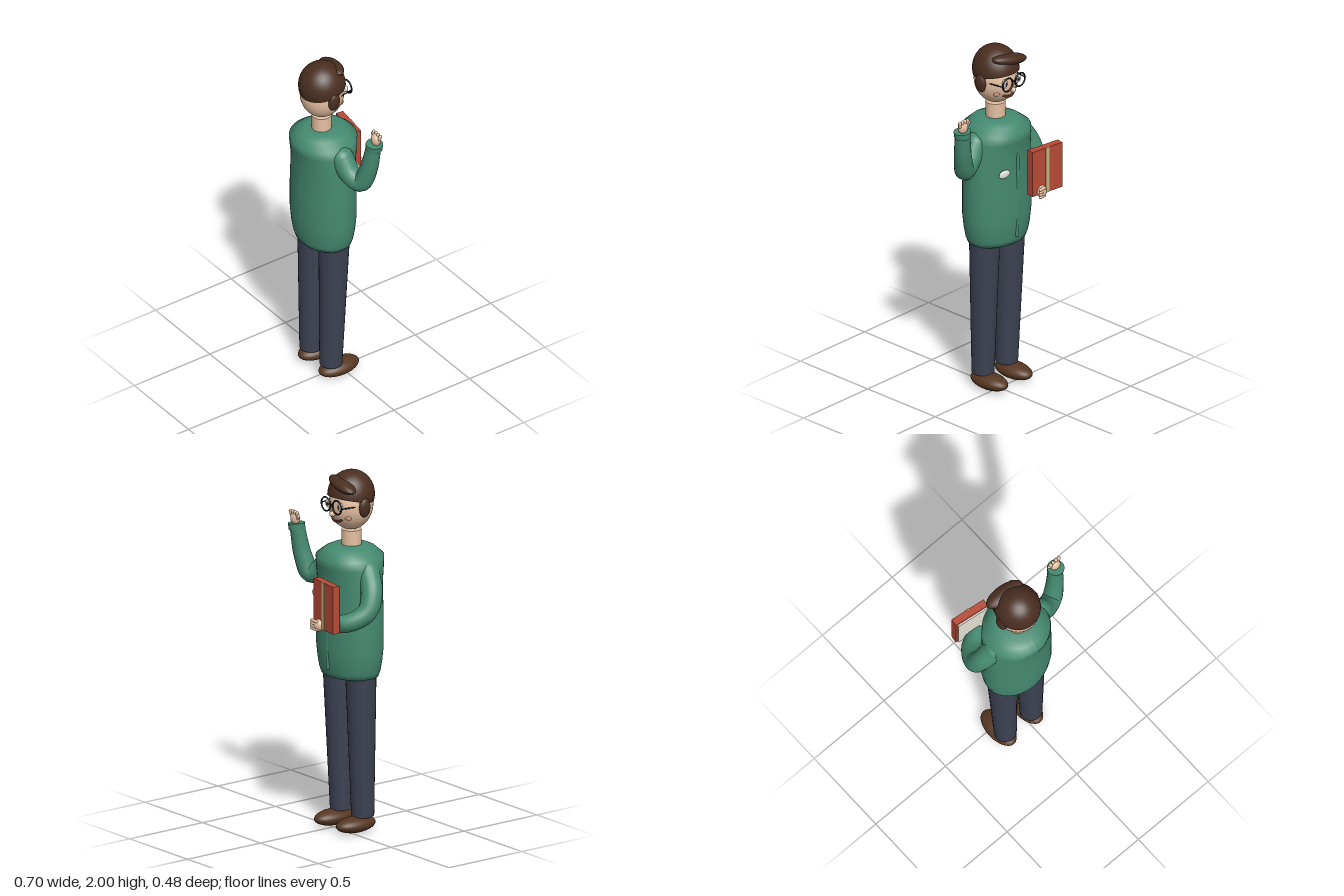
import * as THREE from 'three';

const COLORS = {
  hair: 0x4a2e20, skin: 0xe6c0a2, sweater: 0x458a71, trousers: 0x3d4252, shoe: 0x573722,
  book: 0xb84a36, pages: 0xe6e1d5, band: 0xc6b27a, white: 0xe8e8e4, black: 0x17171a,
  cheek: 0xc98b74, mouth: 0x55301f, iris: 0x6b4a2c,
};
const CX = -0.055; // body centre line
const V = (x, y, z) => new THREE.Vector3(x, y, z);

export function createModel() {
  const root = new THREE.Group();
  const mats = {};
  for (const k in COLORS) {
    mats[k] = new THREE.MeshStandardMaterial({ color: COLORS[k], side: THREE.DoubleSide });
  }

  const add = (name, geo, mat, pos = [0, 0, 0], rot = [0, 0, 0], parent = root) => {
    const m = new THREE.Mesh(geo, mats[mat]);
    m.name = name;
    m.position.set(...pos);
    m.rotation.set(...rot);
    parent.add(m);
    return m;
  };
  const ball = (name, mat, pos, r, rot, parent) =>
    add(name, new THREE.SphereGeometry(1, 28, 18).scale(...r), mat, pos, rot, parent);
  // capsule between two points
  const rod = (name, mat, a, b, r) => {
    const m = add(name, new THREE.CapsuleGeometry(r, a.distanceTo(b), 6, 12), mat);
    m.position.copy(a).lerp(b, 0.5);
    m.quaternion.setFromUnitVectors(V(0, 1, 0), b.clone().sub(a).normalize());
    return m;
  };
  // tapered cylinder between two points
  const limb = (name, mat, top, bottom, rTop, rBottom) => {
    const m = add(name, new THREE.CylinderGeometry(rTop, rBottom, top.distanceTo(bottom), 28), mat);
    m.position.copy(top).lerp(bottom, 0.5);
    m.quaternion.setFromUnitVectors(V(0, 1, 0), top.clone().sub(bottom).normalize());
    return m;
  };
  // tube that narrows along its path, with rounded ends
  const sleeve = (name, points, r0, r1) => {
    const curve = new THREE.CatmullRomCurve3(points);
    const n = 36, sides = 20;
    const geo = new THREE.TubeGeometry(curve, n, 1, sides);
    const p = geo.attributes.position, v = V();
    for (let i = 0; i < p.count; i++) {
      const t = Math.floor(i / (sides + 1)) / n;
      const c = curve.getPointAt(t);
      v.fromBufferAttribute(p, i).sub(c).multiplyScalar(r0 + (r1 - r0) * t).add(c);
      p.setXYZ(i, v.x, v.y, v.z);
    }
    add(name, geo, 'sweater');
    ball(name + 'Shoulder', 'sweater', points[0].toArray(), [r0, r0, r0]);
    const e = points[points.length - 1].toArray();
    ball(name + 'End', 'sweater', e, [r1, r1 * 0.5, r1]);
  };

  // Legs and shoes
  for (const s of [-1, 1]) {
    const side = s > 0 ? 'left' : 'right';
    limb(side + 'Leg', 'trousers', V(CX + s * 0.098, 0.92, 0.067), V(CX + s * 0.092, 0.085, 0.085), 0.085, 0.062);
    ball(side + 'Shoe', 'shoe', [CX + s * 0.095, 0.045, 0.035], [0.068, 0.044, 0.125]);
  }

  // Sweater body: lathe flattened front to back, rounder near the neck
  const profile = [[0.001, 1.588], [0.1, 1.585], [0.135, 1.568], [0.185, 1.53], [0.198, 1.48], [0.206, 1.38],
    [0.212, 1.2], [0.212, 1.03], [0.203, 0.95], [0.192, 0.895], [0.18, 0.866], [0.001, 0.866]];
  const body = new THREE.LatheGeometry(profile.reverse().map(([r, y]) => new THREE.Vector2(r, y)), 48);
  const bp = body.attributes.position;
  for (let i = 0; i < bp.count; i++) {
    const k = THREE.MathUtils.smoothstep(bp.getY(i), 1.4, 1.585);
    bp.setZ(i, bp.getZ(i) * (0.755 + 0.3 * k));
  }
  body.computeVertexNormals();
  add('sweaterBody', body, 'sweater', [CX, 0, 0.07]);
  rod('frontPlacket', 'sweater', V(CX, 1.46, -0.083), V(CX, 0.92, -0.08), 0.012);

  // Collar points and pocket badge
  for (const s of [-1, 1]) {
    ball('collarPoint', 'white', [CX + s * 0.04, 1.515, -0.068], [0.03, 0.012, 0.01], [0, s * 0.25, s * 0.7]);
  }
  ball('collarButton', 'white', [CX, 1.49, -0.08], [0.011, 0.011, 0.01]);
  ball('badge', 'white', [0.045, 1.315, -0.082], [0.038, 0.024, 0.009], [0, -0.12, 0]);

  // Right arm, bent around to carry the book
  sleeve('rightSleeve', [V(-0.21, 1.465, 0.07), V(-0.275, 1.37, 0.045), V(-0.292, 1.27, 0.0),
    V(-0.245, 1.215, -0.085), V(-0.14, 1.2, -0.15)], 0.064, 0.046);
  ball('rightHand', 'skin', [-0.125, 1.195, -0.195], [0.032, 0.034, 0.028], [0, 0.5, 0]);
  for (let i = 0; i < 4; i++) {
    const y = 1.172 + i * 0.015;
    rod('rightFinger', 'skin', V(-0.128, y, -0.213), V(-0.09, y + 0.004, -0.22), 0.0085);
  }

  // Book with a ribbon, held in front
  const book = new THREE.Group();
  book.name = 'book';
  book.position.set(-0.168, 1.31, -0.18);
  book.rotation.y = -0.134;
  root.add(book);
  add('bookCover', new THREE.BoxGeometry(0.207, 0.265, 0.042), 'book', [0, 0, 0], [0, 0, 0], book);
  add('bookPages', new THREE.BoxGeometry(0.188, 0.245, 0.012), 'pages', [0.002, 0, 0.025], [0, 0, 0], book);
  add('bookRibbon', new THREE.BoxGeometry(0.026, 0.266, 0.006), 'band', [0, 0, -0.021], [0, 0, 0], book);

  // Left arm, raised to wave
  sleeve('leftSleeve', [V(0.115, 1.475, 0.068), V(0.175, 1.395, 0.055), V(0.235, 1.368, 0.03),
    V(0.274, 1.46, 0.008), V(0.298, 1.62, -0.012)], 0.064, 0.041);
  add('leftCuff', new THREE.CylinderGeometry(0.047, 0.045, 0.035, 24), 'sweater', [0.3, 1.622, -0.013], [0, 0, -0.1]);
  ball('leftHand', 'skin', [0.304, 1.665, -0.02], [0.031, 0.036, 0.024]);
  for (let i = 0; i < 4; i++) {
    const x = 0.28 + i * 0.017;
    rod('leftFinger', 'skin', V(x, 1.68, -0.024), V(x + (i - 1.5) * 0.003, 1.703 - Math.abs(i - 1.5) * 0.002, -0.028), 0.0095);
  }
  rod('leftThumb', 'skin', V(0.285, 1.66, -0.02), V(0.266, 1.684, -0.028), 0.009);

  // Neck and head
  add('neck', new THREE.CylinderGeometry(0.054, 0.054, 0.13, 28), 'skin', [CX, 1.605, 0.08]);
  const HZ = 0.078;
  ball('head', 'skin', [CX, 1.812, HZ], [0.118, 0.142, 0.122]);

  // Hair: tilted cap, side tufts and swept fringe
  add('hairCap', new THREE.SphereGeometry(1, 40, 24, 0, Math.PI * 2, 0, Math.PI * 0.55).scale(0.125, 0.136, 0.13),
    'hair', [CX, 1.864, HZ], [0.2, 0, 0]);
  for (const s of [-1, 1]) {
    ball('sideHair', 'hair', [CX + s * 0.114, 1.815, 0.08], [0.024, 0.056, 0.036]);
  }
  ball('fringe', 'hair', [-0.078, 1.935, 0.0], [0.115, 0.032, 0.052], [0.1, -0.12, 0.2]);

  // Face and round glasses, mirrored
  const GY = 1.822, GZ = -0.057;
  for (const s of [-1, 1]) {
    const x = CX + s * 0.048;
    ball('eye', 'white', [x, GY, -0.034], [0.024, 0.026, 0.012], [0, s * 0.35, 0]);
    ball('iris', 'iris', [x, GY, -0.043], [0.012, 0.013, 0.006], [0, s * 0.2, 0]);
    ball('pupil', 'black', [x, GY, -0.047], [0.006, 0.007, 0.004]);
    add('glassesRim', new THREE.TorusGeometry(0.038, 0.0045, 10, 32), 'black', [x, GY, GZ]);
    rod('glassesTemple', 'black', V(CX + s * 0.088, GY, GZ), V(CX + s * 0.108, GY, 0.055), 0.0035);
    rod('eyebrow', 'hair', V(CX + s * 0.03, 1.872, -0.037), V(CX + s * 0.066, 1.868, -0.021), 0.006);
    ball('cheek', 'cheek', [CX + s * 0.075, 1.758, 0.0], [0.018, 0.014, 0.009], [0, -s * 0.75, 0]);
  }
  rod('glassesBridge', 'black', V(CX - 0.012, GY + 0.006, GZ), V(CX + 0.012, GY + 0.006, GZ), 0.004);
  ball('nose', 'skin', [CX, 1.776, -0.048], [0.014, 0.016, 0.02]);
  const smile = new THREE.QuadraticBezierCurve3(V(CX - 0.045, 1.747, -0.015), V(CX, 1.715, -0.043), V(CX + 0.045, 1.747, -0.015));
  add('mouth', new THREE.TubeGeometry(smile, 20, 0.0065, 8), 'mouth');

  return root;
}
